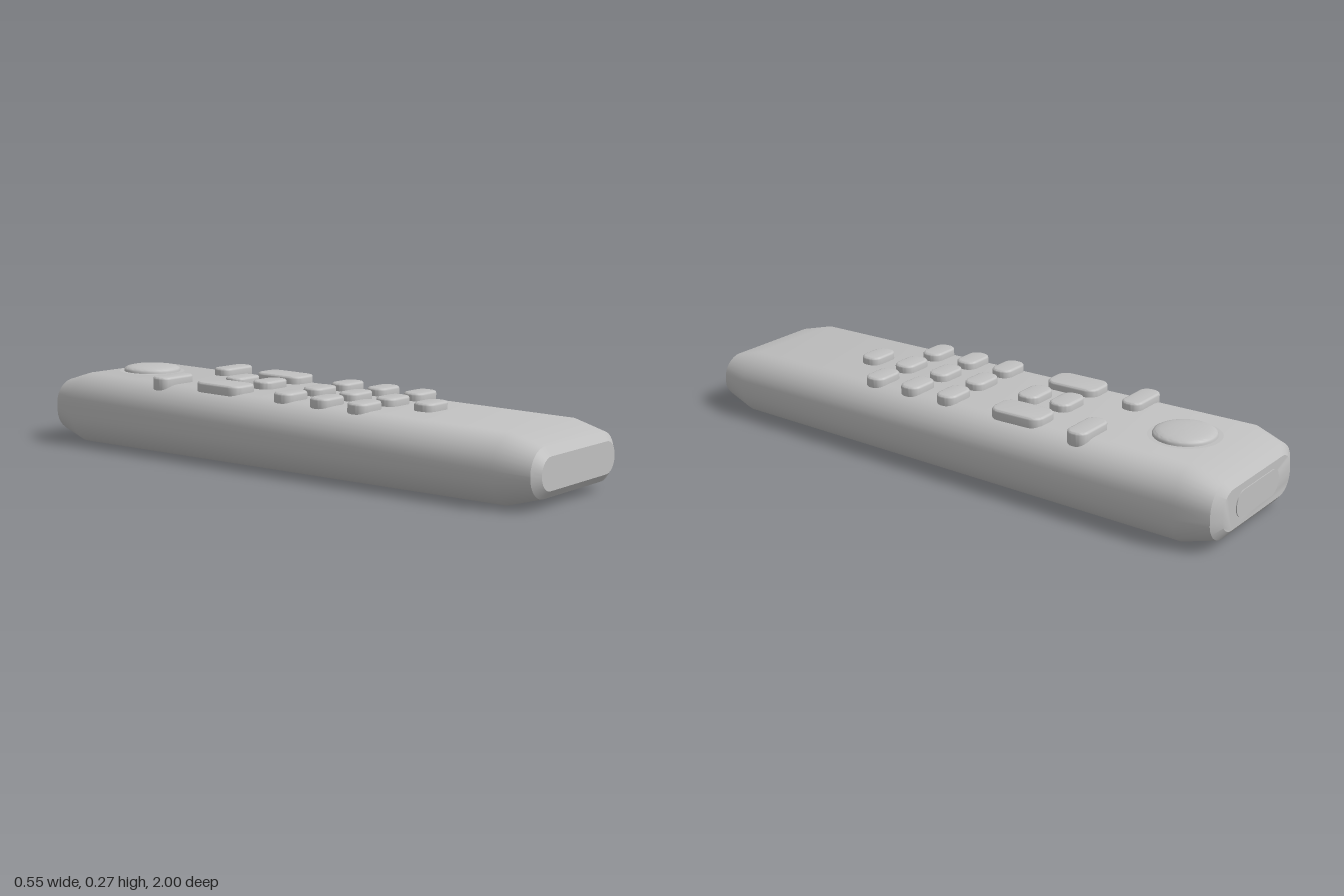
import * as THREE from 'three';
import { toCreasedNormals } from 'three/addons/utils/BufferGeometryUtils.js';

const ARC = 8; // segments per rounded corner
const SLOPE = 0.031 / 1.74; // the top face rises towards the back
const topY = (z) => 0.215 + SLOPE * (0.87 - z);

// Rounded rectangle, counter-clockwise, centred on the origin
function roundedRect(w, h, r) {
  const pts = [];
  const corners = [[1, -1], [1, 1], [-1, 1], [-1, -1]];
  corners.forEach(([sx, sy], q) => {
    for (let i = 0; i <= ARC; i++) {
      const a = (q - 1 + i / ARC) * Math.PI / 2;
      pts.push(new THREE.Vector2(sx * (w / 2 - r) + r * Math.cos(a), sy * (h / 2 - r) + r * Math.sin(a)));
    }
  });
  return pts;
}

// Body lofted through sections: z, half width, bottom, top, corner radius
function bodyGeometry() {
  const sections = [
    [1, 0.21, 0.057, 0.158, 0.049],
    [0.98, 0.24, 0.032, 0.185, 0.074],
    [0.87, 0.267, 0, 0.215, 0.1],
    [-0.87, 0.275, 0, 0.246, 0.1],
    [-0.977, 0.247, 0.03, 0.215, 0.08],
    [-0.997, 0.21, 0.055, 0.188, 0.06],
  ];
  const n = 4 * (ARC + 1);
  const pos = [], index = [];
  for (const [z, hw, y0, y1, r] of sections) {
    for (const p of roundedRect(2 * hw, y1 - y0, r)) pos.push(p.x, p.y + (y0 + y1) / 2, z);
  }
  for (let s = 0; s < sections.length - 1; s++) {
    for (let i = 0; i < n; i++) {
      const a = s * n + i, b = s * n + (i + 1) % n;
      index.push(a, a + n, b, b, a + n, b + n);
    }
  }
  // end caps
  const last = (sections.length - 1) * n;
  for (let i = 1; i < n - 1; i++) {
    index.push(0, i, i + 1);
    index.push(last, last + i + 1, last + i);
  }
  const g = new THREE.BufferGeometry();
  g.setAttribute('position', new THREE.Float32BufferAttribute(pos, 3));
  g.setIndex(index);
  return toCreasedNormals(g, 0.5);
}

// Upright key with rounded corners and a soft top edge; its base is at y = 0
function keyGeometry(w, d, r, height) {
  const bevel = 0.008;
  const shape = new THREE.Shape(roundedRect(w - 2 * bevel, d - 2 * bevel, r - bevel));
  const g = new THREE.ExtrudeGeometry(shape, {
    depth: height - 2 * bevel, bevelEnabled: true,
    bevelSize: bevel, bevelThickness: bevel, bevelSegments: 3,
  });
  g.translate(0, 0, bevel);
  g.rotateX(-Math.PI / 2);
  return toCreasedNormals(g, 0.6);
}

export function createModel() {
  const model = new THREE.Group();
  model.name = 'remoteControl';
  const grey = new THREE.MeshStandardMaterial({ color: 0xc0c0c0 });
  grey.name = 'light grey';

  const add = (name, geometry, x = 0, y = 0, z = 0, tilt = 0) => {
    const mesh = new THREE.Mesh(geometry, grey);
    mesh.name = name;
    mesh.position.set(x, y, z);
    mesh.rotation.x = tilt;
    model.add(mesh);
    return mesh;
  };
  const tilt = Math.atan(SLOPE);
  const sink = 0.03, rise = 0.026;
  const addKey = (name, geometry, x, z) => add(name, geometry, x, topY(z) - sink, z, tilt);

  add('body', bodyGeometry());

  // number keys
  const small = keyGeometry(0.118, 0.075, 0.032, sink + rise);
  for (const z of [0.026, 0.175, 0.323]) {
    for (const x of [-0.149, 0, 0.149]) addKey('numberKey', small, x, z);
  }
  addKey('numberKey', small, 0, 0.47);

  // centre keys
  const centre = keyGeometry(0.123, 0.079, 0.034, sink + rise);
  for (const z of [-0.313, -0.19]) addKey('centreKey', centre, 0, z);

  // tall rockers and wide keys on both sides
  const rocker = keyGeometry(0.112, 0.193, 0.038, sink + rise);
  const wide = keyGeometry(0.154, 0.073, 0.031, sink + rise);
  for (const s of [-1, 1]) {
    addKey('rockerKey', rocker, s * 0.154, -0.252);
    addKey('wideKey', wide, s * 0.154, -0.493);
  }

  // round domed button with a thin surround
  const dome = [[0.1, 0], [0.1, 0.037], [0.097, 0.043], [0.09, 0.047], [0.075, 0.0505],
    [0.05, 0.0535], [0.025, 0.055], [0, 0.0555]].map(([x, y]) => new THREE.Vector2(x, y));
  addKey('roundButton', toCreasedNormals(new THREE.LatheGeometry(dome, 48), 0.7), 0, -0.745);
  const rim = new THREE.RingGeometry(0.1, 0.115, 48);
  rim.rotateX(-Math.PI / 2);
  add('buttonSurround', rim, 0, topY(-0.745) + 0.002, -0.745, tilt);

  // signal window on the back end
  const lens = new THREE.ExtrudeGeometry(new THREE.Shape(roundedRect(0.26, 0.086, 0.04)),
    { depth: 0.006, bevelEnabled: false });
  add('signalWindow', toCreasedNormals(lens, 0.5), 0, 0.122, -1);

  return model;
}
